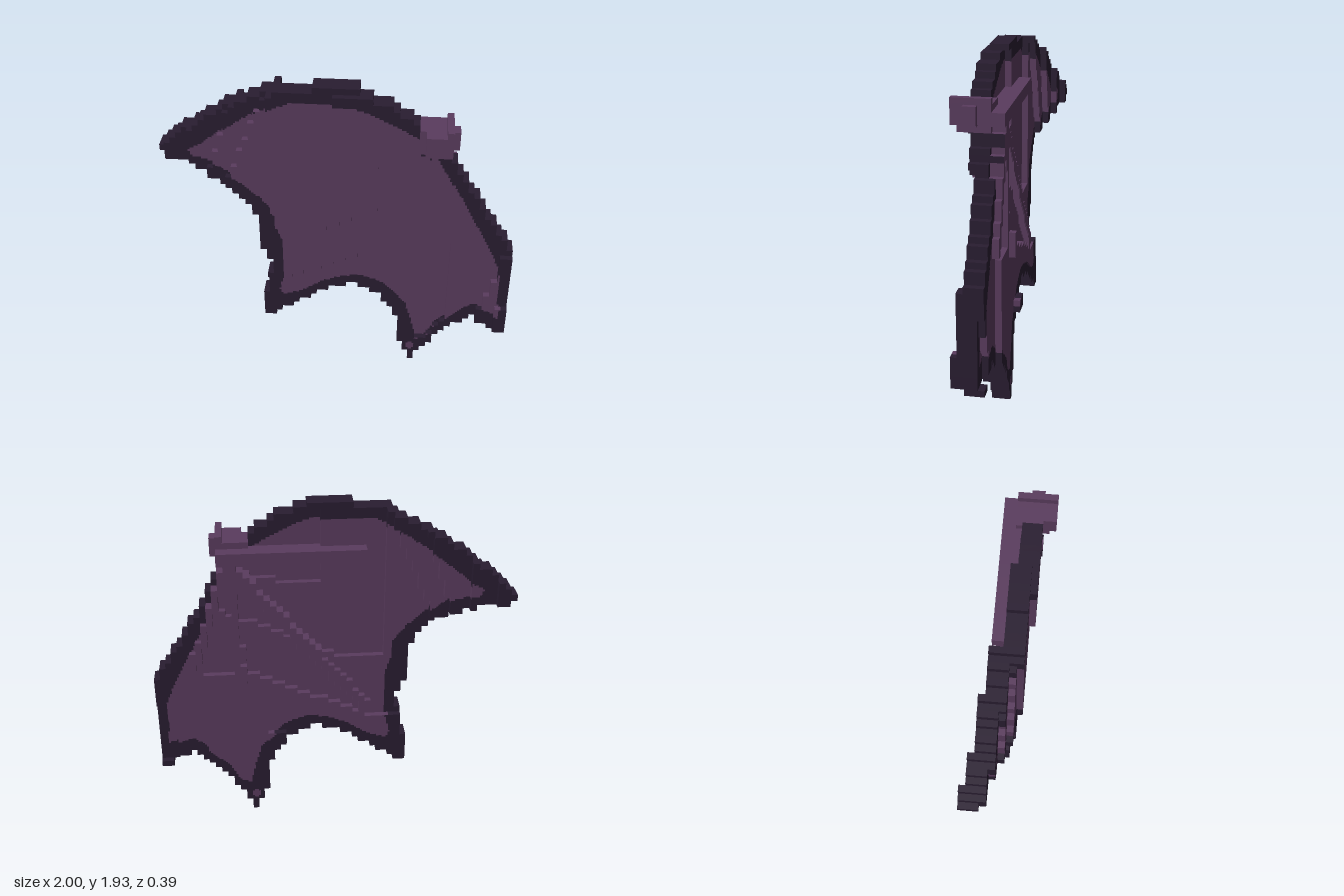
import * as THREE from 'three';

const COLS = 57, ROWS = 55, S = 2 / COLS; // cell grid and cell size

// Wing silhouette (x, y pairs)
const OUTLINE = [
  -1.01, 1.45, -0.965, 1.45, -0.96, 1.48, -0.9, 1.51, -0.8, 1.6, -0.65, 1.71, -0.5, 1.8, -0.33, 1.88, -0.13, 1.9,
  -0.12, 1.94, 0.08, 1.94, 0.15, 1.9, 0.27, 1.85, 0.37, 1.79, 0.44, 1.72, 0.6, 1.62, 0.62, 1.52, 0.69, 1.39,
  0.76, 1.27, 0.83, 1.16, 0.9, 1.04, 0.97, 0.93, 1.01, 0.9, 1.01, 0.32, 0.93, 0.32, 0.87, 0.38, 0.8, 0.43,
  0.74, 0.37, 0.62, 0.27, 0.56, 0.18, 0.5, 0.1, 0.47, -0.01, 0.44, -0.01, 0.435, 0.07, 0.4, 0.08, 0.37, 0.2,
  0.36, 0.35, 0.31, 0.44, 0.24, 0.52, 0.17, 0.56, 0.12, 0.59, 0, 0.57, -0.1, 0.52, -0.22, 0.44, -0.33, 0.37,
  -0.37, 0.32, -0.44, 0.32, -0.44, 0.49, -0.4, 0.5, -0.4, 0.66, -0.37, 0.7, -0.37, 0.77, -0.4, 0.8, -0.44, 0.9,
  -0.44, 1.08, -0.5, 1.16, -0.58, 1.25, -0.68, 1.3, -0.8, 1.35, -0.965, 1.38, -0.97, 1.41, -1.01, 1.41];

// Edge of the lighter skin inside the dark rim
const SKIN = [
  -0.83, 1.46, -0.75, 1.5, -0.65, 1.58, -0.55, 1.66, -0.42, 1.75, -0.33, 1.8, -0.22, 1.84, 0.08, 1.84, 0.2, 1.8,
  0.32, 1.74, 0.44, 1.67, 0.44, 1.58, 0.55, 1.52, 0.63, 1.37, 0.71, 1.22, 0.8, 1.05, 0.9, 0.85, 0.94, 0.75,
  0.95, 0.46, 0.88, 0.48, 0.8, 0.51, 0.7, 0.42, 0.6, 0.33, 0.54, 0.22, 0.48, 0.2, 0.45, 0.32, 0.41, 0.45,
  0.34, 0.54, 0.25, 0.62, 0.13, 0.66, 0.02, 0.64, -0.1, 0.59, -0.2, 0.52, -0.32, 0.48, -0.34, 0.52, -0.31, 0.65,
  -0.31, 0.9, -0.34, 1, -0.34, 1.1, -0.42, 1.2, -0.52, 1.29, -0.65, 1.38, -0.8, 1.42];

// Finger bones on the back: x1, y1, x2, y2, radius
const BONES = [
  [0.58, 1.65, -0.17, 1.65, 0.03],
  [0.55, 1.6, -0.2, 0.7, 0.03],
  [0.55, 1.55, 0.5, 0.9, 0.025],
  [0.58, 1.55, 0.77, 1.0, 0.025],
];

function inside(poly, x, y) {
  let hit = false;
  for (let i = 0, j = poly.length - 2; i < poly.length; j = i, i += 2) {
    const [ax, ay, bx, by] = [poly[i], poly[i + 1], poly[j], poly[j + 1]];
    if ((ay > y) !== (by > y) && x < ((bx - ax) * (y - ay)) / (by - ay) + ax) hit = !hit;
  }
  return hit;
}

const onBone = (x, y) => BONES.some(([ax, ay, bx, by, r]) => {
  const dx = bx - ax, dy = by - ay;
  const t = THREE.MathUtils.clamp(((x - ax) * dx + (y - ay) * dy) / (dx * dx + dy * dy), 0, 1);
  return Math.hypot(x - ax - t * dx, y - ay - t * dy) < r;
});

const isShoulder = (x, y) => x > 0.43 && x < 0.65 && y > (x > 0.61 ? 1.61 : 1.57) &&
  (y < 1.72 || (x > 0.57 && x < 0.615 && y < 1.75));

const isSkin = (x, y) =>
  inside(SKIN, x, y) || Math.hypot((x - 0.45) / 0.02, (y - 0.11) / 0.035) < 1;

// Depth in layers: terraces folding back towards the tip and the lower edge
function terrace(x, y) {
  if (x < -0.97) return 3;
  if (x < -0.83) return 4;
  if (x < -0.69 + 0.3 * (y - 1.4)) return 5;
  if (x < -0.57 + 0.42 * (y - 1.4)) return 6;
  if (x > 0.93 && y > 0.35 && y < 0.53) return 9;
  if (x > 0.93 - 0.3 * Math.max(0, 0.77 - y) && y > 0.35 && y < 0.89) return 8;
  if (x > -0.02 && y > 1.48 + 0.25 * Math.max(0, x - 0.2)) return y > 1.9 ? 8 : 9;
  if (x > -0.37 && y > 1.02 + 0.49 * Math.max(0, x + 0.1)) return 8;
  if (x < 0.65 && y < Math.min(0.95, 0.63 + 0.457 * Math.max(0, x + 0.3))) return 6;
  return 7;
}

function frontLayer(x, y) {
  if (isShoulder(x, y)) return x > 0.47 && x < 0.6 ? (y > 1.62 ? 11 : 10) : 9;
  if (x > 0.48 && x < 0.65 && y > 0.14 && y < 0.36 && !isSkin(x, y)) return 7;
  return terrace(x, y);
}

// The back repeats the terraces three layers behind, slightly offset
function backLayer(x, y, bone) {
  if (Math.abs(x - 0.49) < 0.03 && y > 0.88 && y < 1.02) return 2;
  if (x > 0.27 && x < 0.37 && y > 0.5 && y < 0.56) return 2;
  if (bone) return 3;
  if (isShoulder(x, y)) return x > 0.6 ? 7 : 5;
  return terrace(x - 0.06, y) - 3;
}

export function createModel() {
  const group = new THREE.Group();
  const skin = new THREE.MeshStandardMaterial({ color: 0x5a3c5e });
  skin.name = 'purple skin';
  const edge = new THREE.MeshStandardMaterial({ color: 0x291d31 });
  edge.name = 'dark edge';
  const parts = { membrane: [], rim: [], fingerBones: [], shoulderJoint: [] };

  const quad = (part, a, b, c, d) => parts[part].push(...a, ...b, ...c, ...a, ...c, ...d);
  const depth = (k) => (k - 5.5) * S;
  const skinOrRim = (x, y) => (isSkin(x, y) ? 'membrane' : 'rim');

  // Fill the silhouette with cells
  const cells = new Map();
  for (let i = 0; i < COLS; i++) {
    for (let j = 0; j < ROWS; j++) {
      const x = -1 + (i + 0.5) * S, y = (j + 0.5) * S;
      const shoulder = isShoulder(x, y);
      if (!shoulder && !inside(OUTLINE, x, y)) continue;
      const bone = onBone(x, y);
      const part = shoulder ? 'shoulderJoint' : skinOrRim(x, y);
      cells.set(i + j * COLS, { i, j, bone, shoulder, part, front: frontLayer(x, y), back: backLayer(x, y, bone) });
    }
  }

  // One flat face, split finely only where the skin edge crosses it
  function face(x0, y0, z, flip, fixedPart) {
    const corners = [[0, 0], [1, 0], [0, 1], [1, 1]].map(([u, v]) => skinOrRim(x0 + u * S, y0 + v * S));
    const n = fixedPart || corners.every((c) => c === corners[0]) ? 1 : 3;
    const d = S / n;
    for (let u = 0; u < n; u++) {
      for (let v = 0; v < n; v++) {
        const x = x0 + u * d, y = y0 + v * d;
        const p = [[x, y, z], [x + d, y, z], [x + d, y + d, z], [x, y + d, z]];
        if (flip) p.reverse();
        quad(fixedPart || skinOrRim(x + d / 2, y + d / 2), ...p);
      }
    }
  }

  for (const c of cells.values()) {
    const x0 = -1 + c.i * S, y0 = c.j * S, x1 = x0 + S, y1 = y0 + S;
    const joint = c.shoulder ? 'shoulderJoint' : null;
    const rear = joint || (c.bone ? 'fingerBones' : null);
    face(x0, y0, depth(c.front), false, joint);
    face(x0, y0, depth(c.back), true, rear);

    // Side walls where a neighbour is missing or shallower
    const sides = [
      [1, 0, x1, y0, x1, y1], [0, 1, x1, y1, x0, y1],
      [-1, 0, x0, y1, x0, y0], [0, -1, x0, y0, x1, y0]];
    for (const [di, dj, px, py, qx, qy] of sides) {
      const i = c.i + di, j = c.j + dj;
      const near = i >= 0 && i < COLS && j >= 0 ? cells.get(i + j * COLS) : null;
      const [nb, nf] = near ? [near.back, near.front] : [c.back, c.back];
      const wall = (lo, hi, part) => {
        if (hi <= lo) return;
        const a = depth(lo), b = depth(hi);
        quad(part, [px, py, b], [px, py, a], [qx, qy, a], [qx, qy, b]);
      };
      wall(Math.max(c.back, nf), c.front, c.part);
      wall(c.back, Math.min(c.front, nb), rear || c.part);
    }
  }

  for (const [name, points] of Object.entries(parts)) {
    const geometry = new THREE.BufferGeometry();
    geometry.setAttribute('position', new THREE.Float32BufferAttribute(points, 3));
    geometry.computeVertexNormals();
    const mesh = new THREE.Mesh(geometry, name === 'rim' ? edge : skin);
    mesh.name = name;
    group.add(mesh);
  }
  group.name = 'wing';
  return group;
}
